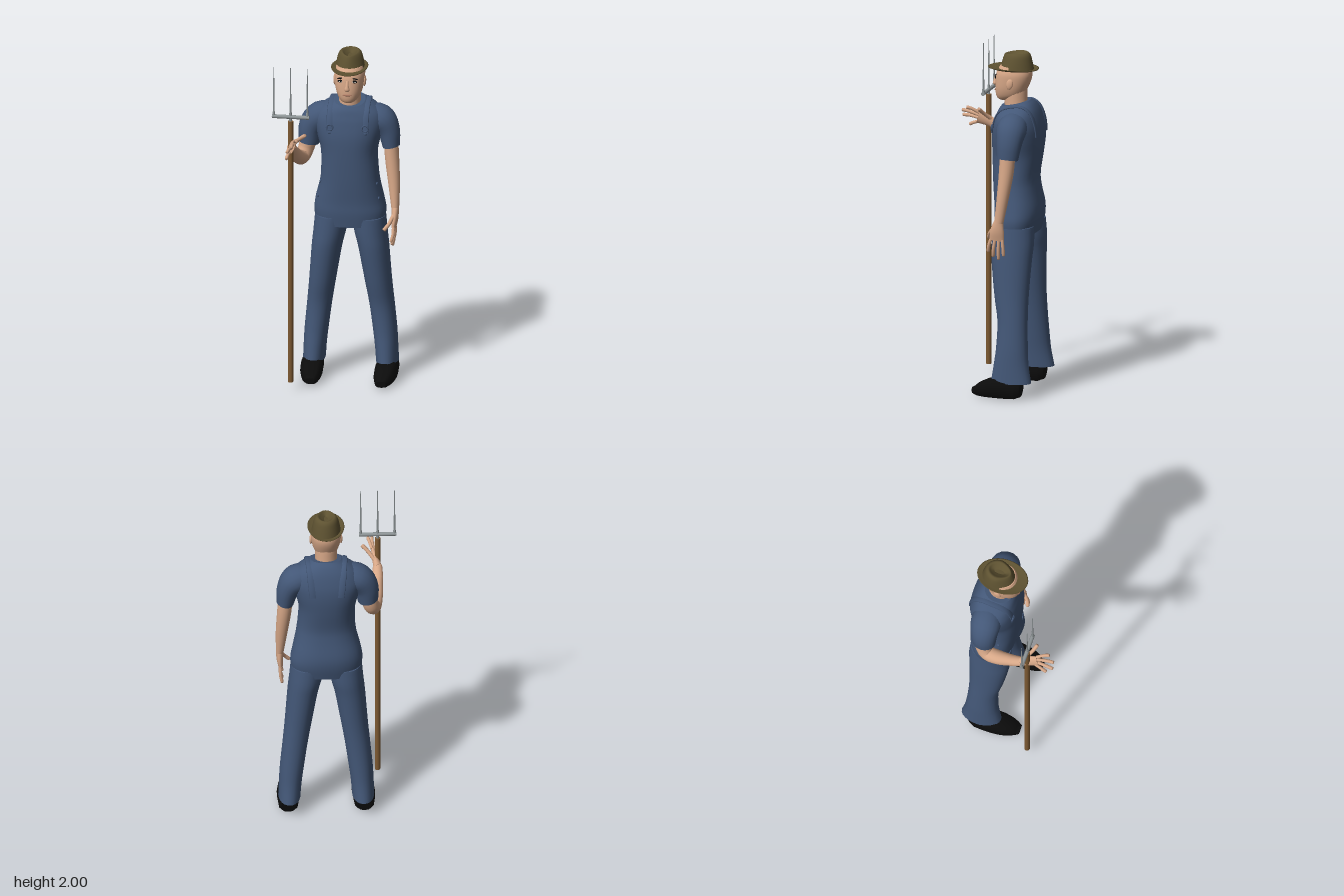
import * as THREE from 'three';

const MID = 0.058; // the body's own centre line
const mat = (name, color) => Object.assign(new THREE.MeshStandardMaterial({ color }), { name });

// Skin a tube of superellipse rings through sections [x, y, z, a, b].
// a is the radius along ref, b the radius across it.
function loft(sections, { ref = [0, 0, 1], n = 20, steps = 4, power = 1, level = false } = {}) {
  const path = new THREE.CatmullRomCurve3(sections.map(s => new THREE.Vector3(s[0], s[1], s[2])), false, 'catmullrom');
  const size = new THREE.CatmullRomCurve3(sections.map(s => new THREE.Vector3(s[3], s[4], 0)), false, 'catmullrom');
  const rows = (sections.length - 1) * steps, pos = [], index = [];
  const bend = v => Math.sign(v) * Math.abs(v) ** power;
  const caps = [];
  for (let i = 0; i <= rows; i++) {
    const c = path.getPoint(i / rows), r = size.getPoint(i / rows);
    const T = level ? new THREE.Vector3(0, 1, 0) : path.getTangent(i / rows);
    const U = new THREE.Vector3(...ref);
    U.addScaledVector(T, -U.dot(T)).normalize();
    const V = T.clone().cross(U);
    for (let j = 0; j < n; j++) {
      const t = j / n * Math.PI * 2;
      pos.push(...c.clone().addScaledVector(U, r.x * bend(Math.cos(t))).addScaledVector(V, r.y * bend(Math.sin(t))));
    }
    if (i === 0 || i === rows) caps.push(c);
  }
  for (let i = 0; i < rows; i++) for (let j = 0; j < n; j++) {
    const k = (j + 1) % n, a = i * n + j, b = i * n + k;
    index.push(a, b, b + n, a, b + n, a + n);
  }
  // separate cap rings keep the ends crisp
  caps.forEach((c, e) => {
    const start = pos.length / 3, from = e * rows * n * 3;
    pos.push(...pos.slice(from, from + n * 3), c.x, c.y, c.z);
    for (let j = 0; j < n; j++) {
      const a = start + j, b = start + (j + 1) % n;
      index.push(...(e ? [a, b, start + n] : [b, a, start + n]));
    }
  });
  const g = new THREE.BufferGeometry();
  g.setAttribute('position', new THREE.Float32BufferAttribute(pos, 3));
  g.setIndex(index);
  g.computeVertexNormals();
  return g;
}

// Level sections from rows of [y, left edge, right edge, back, front]
const levels = rows => rows.map(([y, x0, x1, zb, zf]) => [(x0 + x1) / 2, y, (zb + zf) / 2, (zf - zb) / 2, (x1 - x0) / 2]);
const centred = rows => levels(rows.map(([y, h, zb, zf]) => [y, MID - h, MID + h, zb, zf]));

function reshape(g, rule) {
  const p = g.attributes.position, v = new THREE.Vector3();
  for (let i = 0; i < p.count; i++) {
    rule(v.fromBufferAttribute(p, i));
    p.setXYZ(i, v.x, v.y, v.z);
  }
  g.computeVertexNormals();
  return g;
}

// Point of a mesh's surface met on the way from one point to another
function surface(mesh, from, to) {
  const a = new THREE.Vector3(...from), b = new THREE.Vector3(...to);
  const hit = new THREE.Raycaster(a, b.clone().sub(a).normalize()).intersectObject(mesh)[0];
  return hit ? hit.point : b;
}

export function createModel() {
  const root = new THREE.Group();
  root.name = 'farmer';
  const denim = mat('denim', 0x435777), skin = mat('skin', 0xd8a888), felt = mat('hat felt', 0x5e5231);
  const black = mat('black', 0x0c0c0c), wood = mat('wood', 0x7d5932), metal = mat('metal', 0x8f9698);
  const lip = mat('lips', 0xb27c66), white = mat('eye white', 0xd8d4cc);
  const add = (name, geometry, material, parent = root) => {
    const m = new THREE.Mesh(geometry, material);
    m.name = name;
    parent.add(m);
    return m;
  };
  const ball = (name, at, scale, material) => {
    const m = add(name, new THREE.SphereGeometry(1, 14, 10), material);
    m.position.set(...at);
    m.scale.set(...scale);
    return m;
  };

  // Torso, with the neckline sloping down to the front
  const torso = add('torso', reshape(loft(levels([
    [0.95, -0.14, 0.255, -0.265, -0.03], [1.03, -0.15, 0.264, -0.283, -0.02], [1.1, -0.142, 0.252, -0.285, -0.018],
    [1.2, -0.117, 0.232, -0.268, -0.01], [1.28, -0.108, 0.222, -0.262, -0.005], [1.4, -0.11, 0.217, -0.28, 0],
    [1.5, -0.135, 0.24, -0.29, 0], [1.58, -0.15, 0.255, -0.285, -0.012], [1.64, -0.125, 0.238, -0.265, -0.025],
    [1.68, -0.075, 0.19, -0.24, -0.035], [1.705, -0.03, 0.146, -0.215, -0.048],
  ]), { n: 32, level: true, power: 0.86 }), v => {
    if (v.y > 1.6) v.y -= (v.z + 0.14) * 2.2 * (v.y - 1.6);
  }), denim);
  torso.updateMatrixWorld();

  // Overall straps laid over the shoulders, with buckles on the bib
  for (const side of [-1, 1]) {
    const pts = [];
    for (let i = 0; i <= 14; i++) {
      const t = (0.1 + 0.84 * i / 14) * Math.PI, x = MID + side * (0.102 - 0.045 * Math.max(0, i / 14 - 0.5));
      const p = surface(torso, [x, 1.5 + Math.sin(t), -0.14 + Math.cos(t)], [x, 1.5, -0.14]);
      pts.push([p.x, p.y, p.z, 0.02, 0.005]);
    }
    add('strap', loft(pts, { ref: [1, 0, 0], n: 8, steps: 2, power: 0.6 }), denim);
    const b = surface(torso, [MID + side * 0.102, 1.565, 1], [MID + side * 0.102, 1.565, -0.14]);
    const buckle = add('buckle', new THREE.TorusGeometry(0.018, 0.005, 6, 12), denim);
    buckle.position.set(b.x, b.y, b.z + 0.005);
    ball('buckleButton', [b.x, b.y - 0.032, b.z + 0.002], [0.01, 0.01, 0.006], denim);
    for (const y of [1.12, 1.21]) {
      const h = surface(torso, [MID + side, y, -0.085], [MID, y, -0.085]);
      ball('hipButton', h.toArray(), [0.006, 0.01, 0.01], denim);
    }
  }

  // Trouser legs and shoes, mirrored about the body's centre line
  const leg = levels([
    [1.0, -0.146, 0.052, -0.268, -0.03], [0.9, -0.155, 0.034, -0.272, -0.027], [0.8, -0.165, 0.01, -0.265, -0.03],
    [0.6, -0.18, -0.025, -0.255, -0.055], [0.45, -0.194, -0.05, -0.255, -0.08], [0.3, -0.208, -0.07, -0.262, -0.077],
    [0.2, -0.213, -0.082, -0.27, -0.065], [0.1, -0.217, -0.09, -0.288, -0.05],
  ]).reverse();
  const shoe = [
    [-0.16, 0.06, -0.232, 0.045, 0.04], [-0.16, 0.065, -0.2, 0.06, 0.058], [-0.157, 0.065, -0.09, 0.062, 0.066],
    [-0.152, 0.05, -0.01, 0.047, 0.058], [-0.147, 0.037, 0.035, 0.031, 0.042], [-0.147, 0.035, 0.062, 0.018, 0.027],
  ];
  for (const side of ['right', 'left']) {
    const place = rows => rows.map(([x, ...rest]) => [side === 'left' ? 2 * MID - x : x, ...rest]);
    add(side + 'Leg', loft(place(leg), { n: 24, level: true, power: 0.95 }), denim);
    add(side + 'Shoe', loft(place(shoe), { ref: [0, 1, 0], n: 12, steps: 2, power: 0.7 }), black);
  }

  // Sleeves
  add('rightSleeve', loft([[-0.02, 1.6, -0.16, 0.07, 0.07], [-0.115, 1.585, -0.155, 0.088, 0.082],
    [-0.167, 1.52, -0.15, 0.078, 0.074], [-0.182, 1.425, -0.145, 0.068, 0.06]]), denim);
  add('leftSleeve', loft([[0.14, 1.6, -0.16, 0.07, 0.07], [0.228, 1.585, -0.16, 0.088, 0.082],
    [0.275, 1.52, -0.16, 0.076, 0.066], [0.294, 1.42, -0.155, 0.062, 0.05]]), denim);

  // Arms: the right one bent forward, the left one hanging
  add('rightArm', loft([[-0.175, 1.47, -0.145, 0.05, 0.05], [-0.198, 1.385, -0.142, 0.048, 0.046],
    [-0.217, 1.345, -0.105, 0.044, 0.044], [-0.231, 1.375, -0.03, 0.04, 0.042], [-0.243, 1.435, 0.05, 0.032, 0.034],
    [-0.247, 1.48, 0.11, 0.026, 0.026]], { ref: [0, 0.7, 0.7] }), skin);
  add('leftArm', loft([[0.29, 1.47, -0.155, 0.045, 0.042], [0.298, 1.35, -0.15, 0.043, 0.041],
    [0.312, 1.2, -0.133, 0.035, 0.034], [0.322, 1.05, -0.112, 0.027, 0.022]]), skin);

  // Hands: palm, four fingers and a thumb
  const finger = (name, pts, r) => add(name, loft([...pts.map(p => [...p, r, r]),
    [...pts.at(-1).map((v, i) => v + (v - pts.at(-2)[i]) * 0.1), r * 0.4, r * 0.4]], { ref: [0.9, 0.3, 0.2], n: 8, steps: 3 }), skin);
  add('rightPalm', loft([[-0.247, 1.475, 0.1, 0.027, 0.024], [-0.237, 1.5, 0.145, 0.036, 0.02],
    [-0.23, 1.515, 0.195, 0.04, 0.014]], { ref: [0.3, 1, 0] }), skin);
  add('leftPalm', loft([[0.322, 1.06, -0.112, 0.027, 0.021], [0.322, 1.0, -0.102, 0.041, 0.019],
    [0.317, 0.945, -0.098, 0.043, 0.013]]), skin);
  [[[-0.218, 1.544, 0.185], [-0.204, 1.568, 0.225], [-0.197, 1.575, 0.252]],
    [[-0.226, 1.527, 0.187], [-0.222, 1.545, 0.245], [-0.221, 1.552, 0.285]],
    [[-0.234, 1.508, 0.187], [-0.242, 1.517, 0.245], [-0.246, 1.517, 0.288]],
    [[-0.242, 1.489, 0.18], [-0.252, 1.475, 0.225], [-0.256, 1.462, 0.252]],
  ].forEach(p => finger('rightFinger', p, 0.0095));
  finger('rightThumb', [[-0.235, 1.505, 0.115], [-0.195, 1.548, 0.15], [-0.162, 1.578, 0.168]], 0.011);
  [[[0.318, 0.955, -0.065], [0.316, 0.91, -0.05], [0.306, 0.875, -0.044]],
    [[0.318, 0.952, -0.088], [0.318, 0.895, -0.079], [0.307, 0.85, -0.073]],
    [[0.318, 0.952, -0.11], [0.318, 0.89, -0.108], [0.308, 0.836, -0.106]],
    [[0.318, 0.952, -0.131], [0.318, 0.9, -0.136], [0.31, 0.858, -0.137]],
  ].forEach(p => finger('leftFinger', p, 0.0095));
  finger('leftThumb', [[0.318, 1.025, -0.085], [0.295, 0.98, -0.05], [0.268, 0.947, -0.035]], 0.011);

  // Head and neck
  add('neck', loft(centred([[1.62, 0.068, -0.205, -0.065], [1.7, 0.064, -0.196, -0.062], [1.78, 0.064, -0.195, -0.06]]), { level: true }), skin);
  const head = add('head', loft(centred([
    [1.715, 0.03, -0.09, -0.03], [1.725, 0.046, -0.13, -0.018], [1.75, 0.065, -0.175, -0.01], [1.79, 0.079, -0.198, -0.008],
    [1.84, 0.086, -0.218, -0.011], [1.88, 0.087, -0.222, -0.018], [1.92, 0.076, -0.21, -0.04],
  ]), { n: 28, level: true, power: 0.92 }), skin);
  head.updateMatrixWorld();
  add('nose', loft([[MID, 1.856, -0.017, 0.008, 0.008], [MID, 1.825, -0.006, 0.011, 0.01], [MID, 1.805, -0.003, 0.012, 0.016],
    [MID, 1.795, -0.008, 0.005, 0.009]], { n: 12 }), skin);
  const face = (name, x, y, scale, material) =>
    ball(name, surface(head, [MID + x, y, 1], [MID + x, y, -0.1]).toArray(), scale, material);
  face('mouth', 0, 1.77, [0.026, 0.006, 0.004], lip);
  for (const s of [-1, 1]) {
    face('eyeSocket', s * 0.038, 1.85, [0.019, 0.009, 0.003], black);
    face('eyeWhite', s * 0.038, 1.848, [0.014, 0.006, 0.004], white);
    face('iris', s * 0.038, 1.849, [0.006, 0.006, 0.005], black);
    face('eyebrow', s * 0.04, 1.867, [0.022, 0.004, 0.004], black).rotation.z = -s * 0.12;
    ball('ear', [MID + s * 0.086, 1.825, -0.118], [0.009, 0.032, 0.02], skin).rotation.x = -0.2;
  }

  // Hat: pinched crown with a sunken teardrop top, and an oval brim
  add('hatCrown', reshape(loft(centred([
    [1.9, 0.084, -0.234, -0.038], [1.95, 0.076, -0.224, -0.048], [1.985, 0.066, -0.214, -0.058], [1.999, 0.05, -0.198, -0.068],
    [1.985, 0.03, -0.182, -0.085], [1.972, 0.012, -0.165, -0.1],
  ]), { n: 28, level: true }), v => {
    const front = Math.max(0, (v.z + 0.14) / 0.1), high = (v.y - 1.9) / 0.1;
    v.x = MID + (v.x - MID) * (1 - 0.35 * front * high);
    v.y -= 0.015 * front * high;
  }), felt);
  const brim = [[0.05, -0.01], [0.085, -0.008], [0.103, -0.001], [0.106, 0.004], [0.101, 0.005], [0.085, 0], [0.05, 0]];
  add('hatBrim', reshape(new THREE.LatheGeometry(brim.map(p => new THREE.Vector2(...p)), 32), v => {
    v.y += 1.902 + v.x * v.x * 0.5;
    v.x += MID;
    v.z = v.z * 1.42 - 0.114;
  }), felt);

  // Pitchfork
  const fork = new THREE.Group();
  fork.name = 'pitchfork';
  fork.position.set(-0.248, 0, 0.137);
  root.add(fork);
  add('shaft', new THREE.CylinderGeometry(0.016, 0.016, 1.595, 12), wood, fork).position.y = 0.8525;
  add('ferrule', new THREE.CylinderGeometry(0.008, 0.008, 0.03, 10), metal, fork).position.y = 1.66;
  const bar = add('crossbar', new THREE.CylinderGeometry(0.0115, 0.0115, 0.214, 12), metal, fork);
  bar.position.y = 1.676;
  bar.rotation.z = Math.PI / 2;
  for (const x of [-0.097, 0, 0.097]) {
    add('tine', new THREE.CylinderGeometry(0.002, 0.006, 0.295, 8), metal, fork).position.set(x, 1.828, 0);
    add('tineCollar', new THREE.CylinderGeometry(0.007, 0.009, 0.025, 8), metal, fork).position.set(x, 1.692, 0);
  }
  return root;
}
